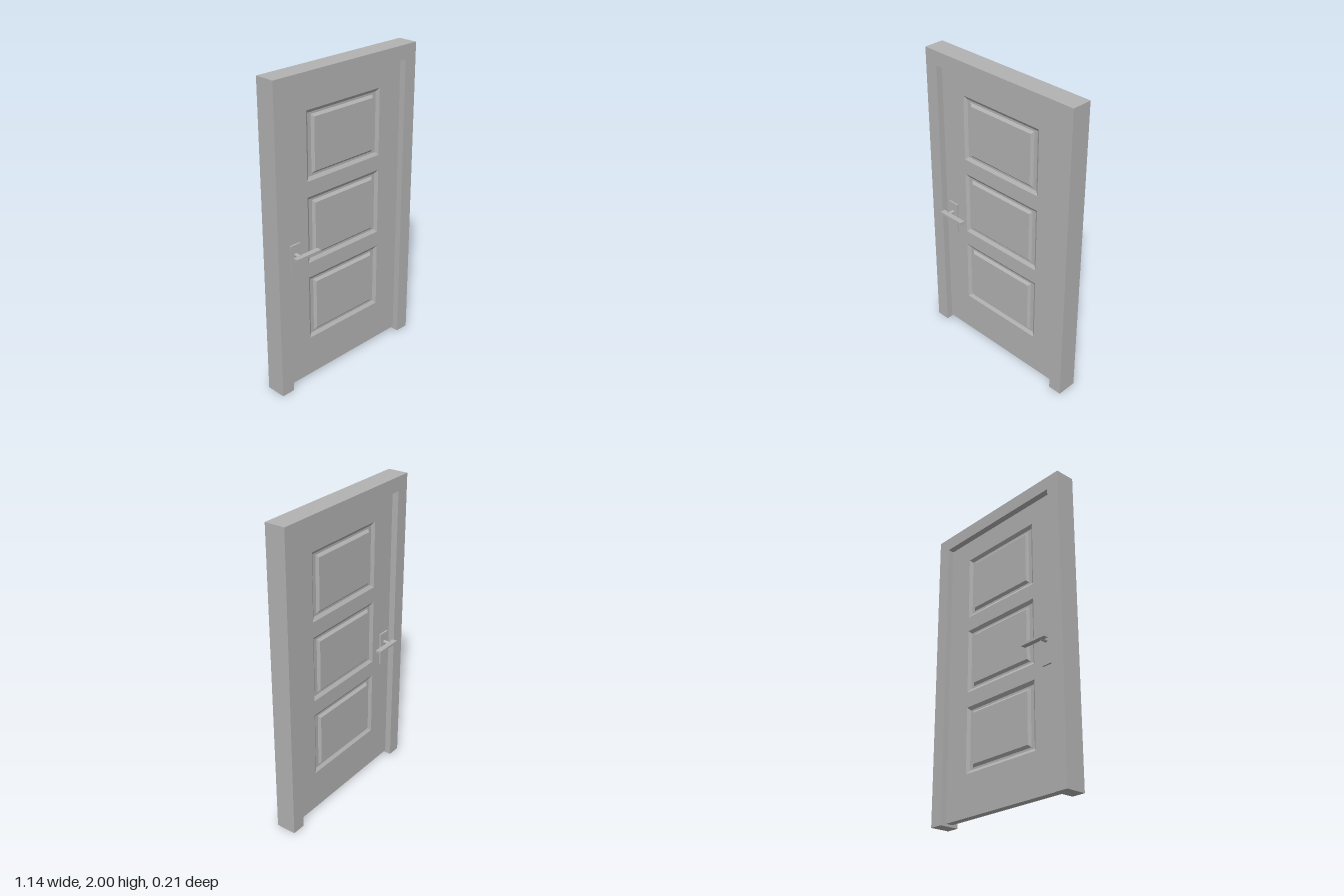
import * as THREE from 'three';

const grey = new THREE.MeshStandardMaterial({ color: 0xb2b2b2 });
grey.name = 'paintedGrey';

const FACE = 0.025; // half thickness of the door leaf
const PANEL_Y = [0.495, 1.023, 1.55];
const PANEL_W = 0.3, PANEL_H = 0.214; // half sizes

function rectPath(Type, x0, y0, x1, y1) {
  return new Type([[x0, y0], [x1, y0], [x1, y1], [x0, y1]].map(p => new THREE.Vector2(...p)));
}

function extrude(shape, depth) {
  return new THREE.ExtrudeGeometry(shape, { depth, bevelEnabled: false }).translate(0, 0, -depth / 2);
}

function add(parent, name, geometry, x = 0, y = 0, z = 0) {
  const mesh = new THREE.Mesh(geometry, grey);
  mesh.name = name;
  mesh.position.set(x, y, z);
  parent.add(mesh);
  return mesh;
}

// Nested rectangles: sloped moulding, flat groove, bevel and raised field
function panelGeometry() {
  const steps = [[0, 0], [0.021, -0.014], [0.047, -0.014, 0.034], [0.062, 0, 0.05]];
  const loops = steps.map(([inX, z, inY = inX]) => {
    const w = PANEL_W - inX, h = PANEL_H - inY;
    return [[-w, -h, z], [w, -h, z], [w, h, z], [-w, h, z]];
  });
  const pos = [];
  const quad = (a, b, c, d) => pos.push(...a, ...b, ...c, ...a, ...c, ...d);
  for (let i = 0; i < loops.length - 1; i++) {
    for (let k = 0; k < 4; k++) {
      const n = (k + 1) % 4;
      quad(loops[i][k], loops[i][n], loops[i + 1][n], loops[i + 1][k]);
    }
  }
  quad(...loops[loops.length - 1]);
  const g = new THREE.BufferGeometry();
  g.setAttribute('position', new THREE.Float32BufferAttribute(pos, 3));
  g.computeVertexNormals();
  return g;
}

export function createModel() {
  const model = new THREE.Group();
  model.name = 'door';

  // Door frame: two posts and a header in one piece
  const frame = new THREE.Shape([
    [-0.57, 0], [-0.48, 0], [-0.48, 1.91], [0.48, 1.91],
    [0.48, 0], [0.57, 0], [0.57, 2], [-0.57, 2],
  ].map(p => new THREE.Vector2(...p)));
  add(model, 'doorFrame', extrude(frame, 0.132));

  // Door leaf with openings for the panels
  const leaf = rectPath(THREE.Shape, -0.479, 0.015, 0.479, 1.909);
  for (const y of PANEL_Y) {
    leaf.holes.push(rectPath(THREE.Path, -PANEL_W, y - PANEL_H, PANEL_W, y + PANEL_H));
  }
  add(model, 'doorLeaf', extrude(leaf, FACE * 2));

  // Panels and handle on both sides
  const panel = panelGeometry();
  for (const side of [1, -1]) {
    for (const y of PANEL_Y) {
      const mesh = add(model, 'raisedPanel', panel, 0, y, side * FACE);
      if (side < 0) mesh.rotation.y = Math.PI;
    }
    const handle = new THREE.Group();
    handle.name = side > 0 ? 'frontHandle' : 'backHandle';
    add(handle, 'handlePlate', new THREE.BoxGeometry(0.075, 0.215, 0.012), -0.412, 0.87, side * (FACE + 0.006));
    const neck = new THREE.CylinderGeometry(0.012, 0.012, 0.045, 16).rotateX(Math.PI / 2);
    add(handle, 'handleNeck', neck, -0.412, 0.912, side * 0.056);
    add(handle, 'handleLever', new THREE.BoxGeometry(0.188, 0.016, 0.034), -0.366, 0.912, side * 0.087);
    model.add(handle);
  }
  return model;
}
